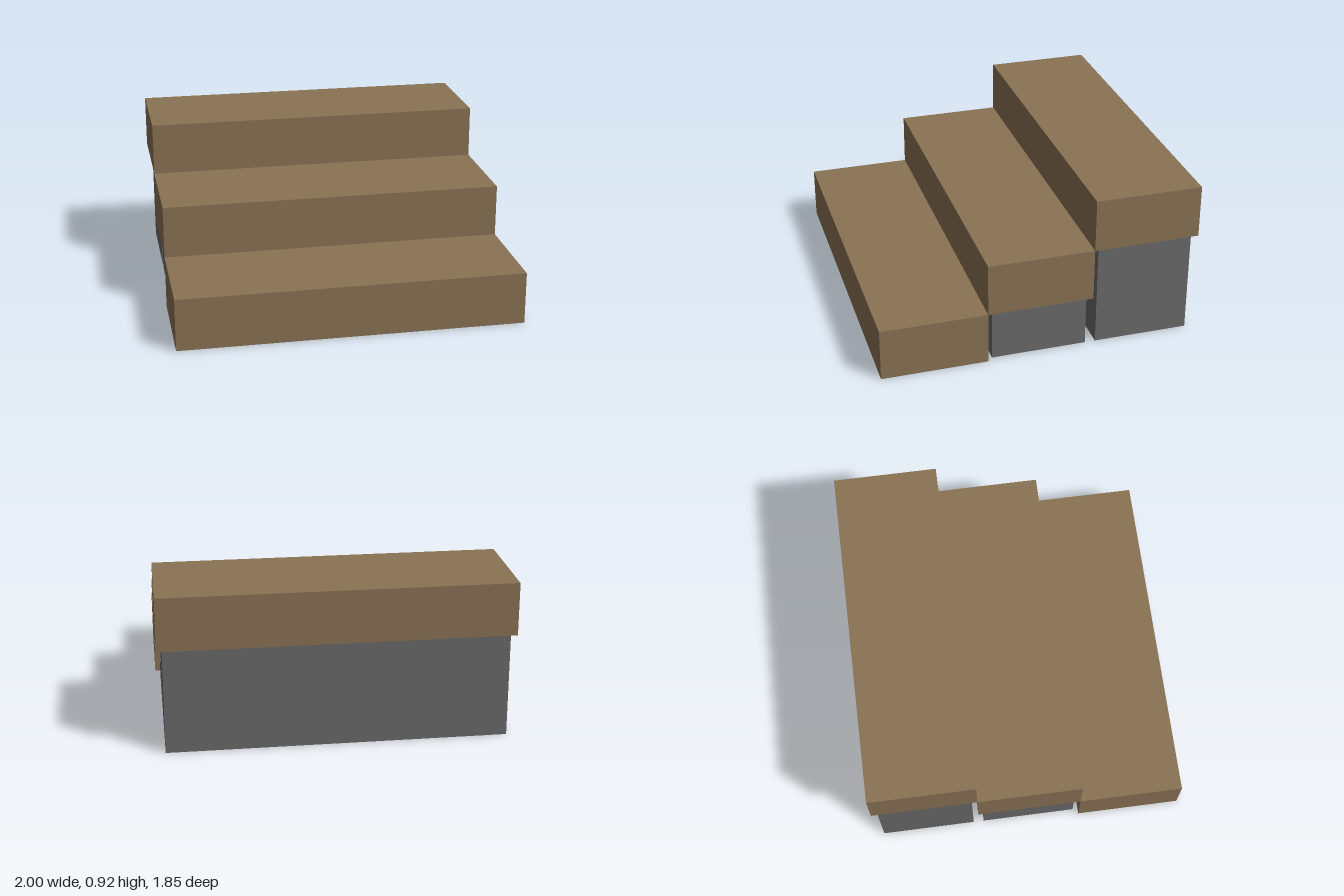
import * as THREE from 'three';

const STEPS = 3;
const WIDTH = 2;
const RISE = 0.3077;   // height of each tread block
const DEPTH = 0.6154;  // depth of each tread block
const INSET = 0.0308;  // how far supports sit inside the treads

export function createModel() {
  const model = new THREE.Group();
  model.name = 'steps';
  const wood = new THREE.MeshStandardMaterial({ color: 0x8b7355 });
  wood.name = 'brown wood';
  const stone = new THREE.MeshStandardMaterial({ color: 0x6b6b6b });
  stone.name = 'grey support';

  // Box standing on the given height
  function addBlock(name, material, width, height, depth, bottom, z) {
    const mesh = new THREE.Mesh(new THREE.BoxGeometry(width, height, depth), material);
    mesh.name = name;
    mesh.position.set(0, bottom + height / 2, z);
    model.add(mesh);
  }

  for (let i = 0; i < STEPS; i++) {
    const z = ((STEPS - 1) / 2 - i) * DEPTH;
    const bottom = i * RISE;
    addBlock(`tread${i + 1}`, wood, WIDTH, RISE, DEPTH, bottom, z);
    // Raised treads rest on a slightly narrower support
    if (i > 0) {
      addBlock(`support${i + 1}`, stone, WIDTH - 2 * INSET, bottom, DEPTH - 2 * INSET, 0, z);
    }
  }
  return model;
}
